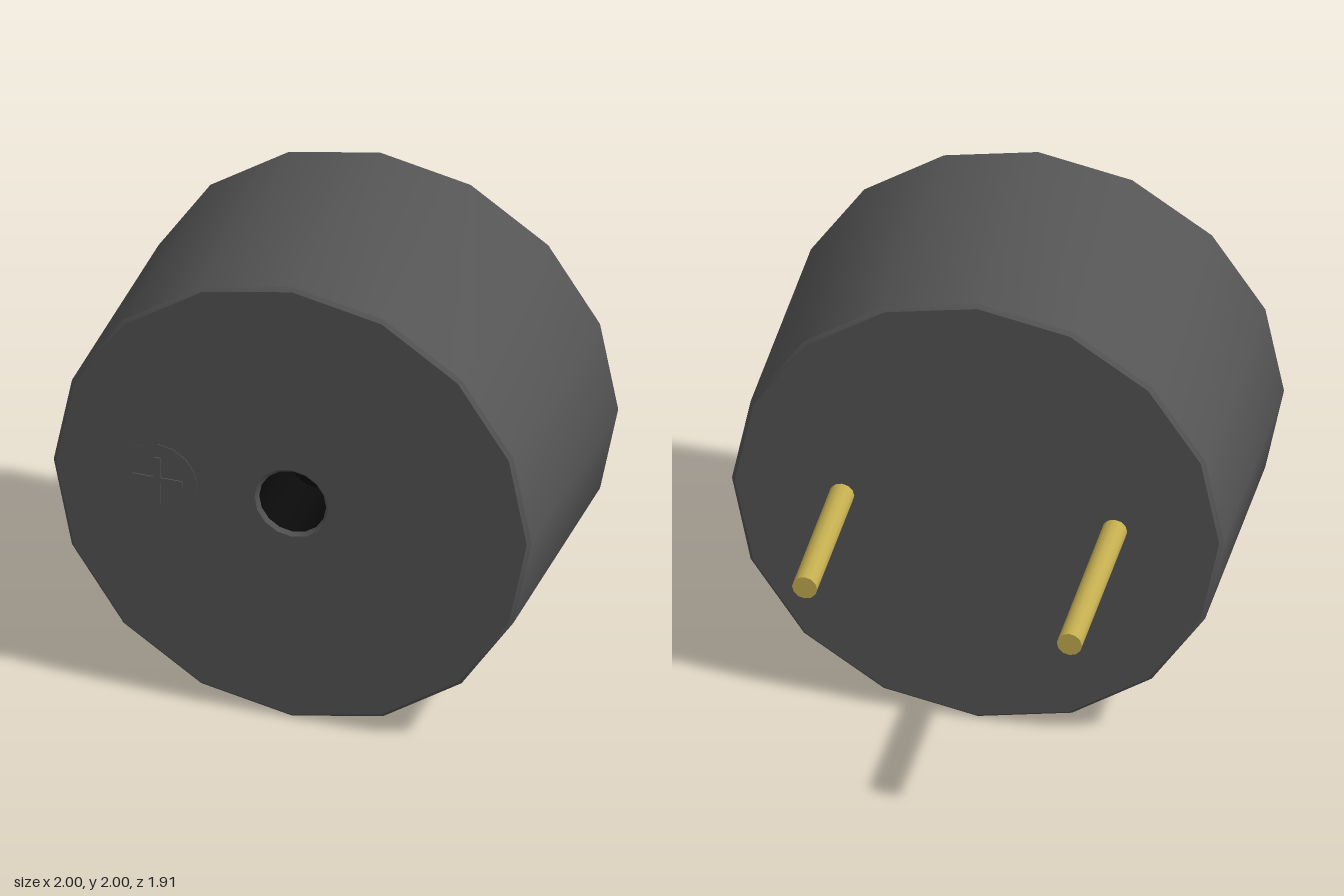
import * as THREE from 'three';
import { toCreasedNormals } from 'three/addons/utils/BufferGeometryUtils.js';

const CENTER_Y = 1;
const FRONT_Z = 0.95;
const BACK_Z = -0.15;

const casing = new THREE.MeshStandardMaterial({ color: 0x555555 });
const dark = new THREE.MeshStandardMaterial({ color: 0x0a0a0a });
const brass = new THREE.MeshStandardMaterial({ color: 0xc4ae50 });

// Profile of [radius, z] pairs turned around the z axis
function turned(profile, sides) {
  const points = profile.map(([r, z]) => new THREE.Vector2(r, z));
  const geometry = new THREE.LatheGeometry(points, sides).rotateX(Math.PI / 2);
  return toCreasedNormals(geometry, 0.6);
}

function addPart(group, name, geometry, material, x, y, z) {
  const mesh = new THREE.Mesh(geometry, material);
  mesh.name = name;
  mesh.position.set(x, y, z);
  group.add(mesh);
  return mesh;
}

// Plus-shaped outline with arms of the given reach and half width
function plusShape(reach, half) {
  const shape = new THREE.Shape();
  for (let i = 0; i < 4; i++) {
    const a = (i * Math.PI) / 2;
    for (const [x, y] of [[reach, -half], [reach, half], [half, half]]) {
      const px = x * Math.cos(a) - y * Math.sin(a);
      const py = x * Math.sin(a) + y * Math.cos(a);
      if (shape.curves.length === 0 && i === 0 && y < 0) shape.moveTo(px, py);
      else shape.lineTo(px, py);
    }
  }
  shape.closePath();
  return shape;
}

export function createModel() {
  const group = new THREE.Group();
  group.name = 'buzzer';

  // Drum casing with bevelled rims and a bevelled sound hole edge
  const bevel = 0.015;
  const hole = 0.14;
  const body = turned([
    [0, BACK_Z], [1 - bevel, BACK_Z], [1, BACK_Z + bevel],
    [1, FRONT_Z - bevel], [1 - bevel, FRONT_Z],
    [hole + bevel, FRONT_Z], [hole, FRONT_Z - bevel],
  ], 16);
  addPart(group, 'casing', body, casing, 0, CENTER_Y, 0);

  // Blind bore behind the sound hole
  const bore = turned([[hole, FRONT_Z - bevel], [hole, 0.6], [0, 0.6]], 16);
  addPart(group, 'soundHole', bore, dark, 0, CENTER_Y, 0);

  // Polarity mark: thin disc with a raised plus
  const disc = new THREE.CylinderGeometry(0.166, 0.166, 0.006, 16).rotateX(Math.PI / 2);
  addPart(group, 'polarityDisc', disc, casing, -0.56, CENTER_Y, FRONT_Z);
  const plus = new THREE.ExtrudeGeometry(plusShape(0.105, 0.014), { depth: 0.008, bevelEnabled: false });
  addPart(group, 'polarityPlus', plus, casing, -0.56, CENTER_Y, FRONT_Z);

  // Contact pins, the positive one longer
  for (const [name, x, tip] of [['longPin', -0.56, -0.955], ['shortPin', 0.55, -0.81]]) {
    const start = BACK_Z + 0.02;
    const pin = new THREE.CylinderGeometry(0.051, 0.051, start - tip, 12).rotateX(Math.PI / 2);
    addPart(group, name, pin, brass, x, CENTER_Y, (start + tip) / 2);
  }

  return group;
}
